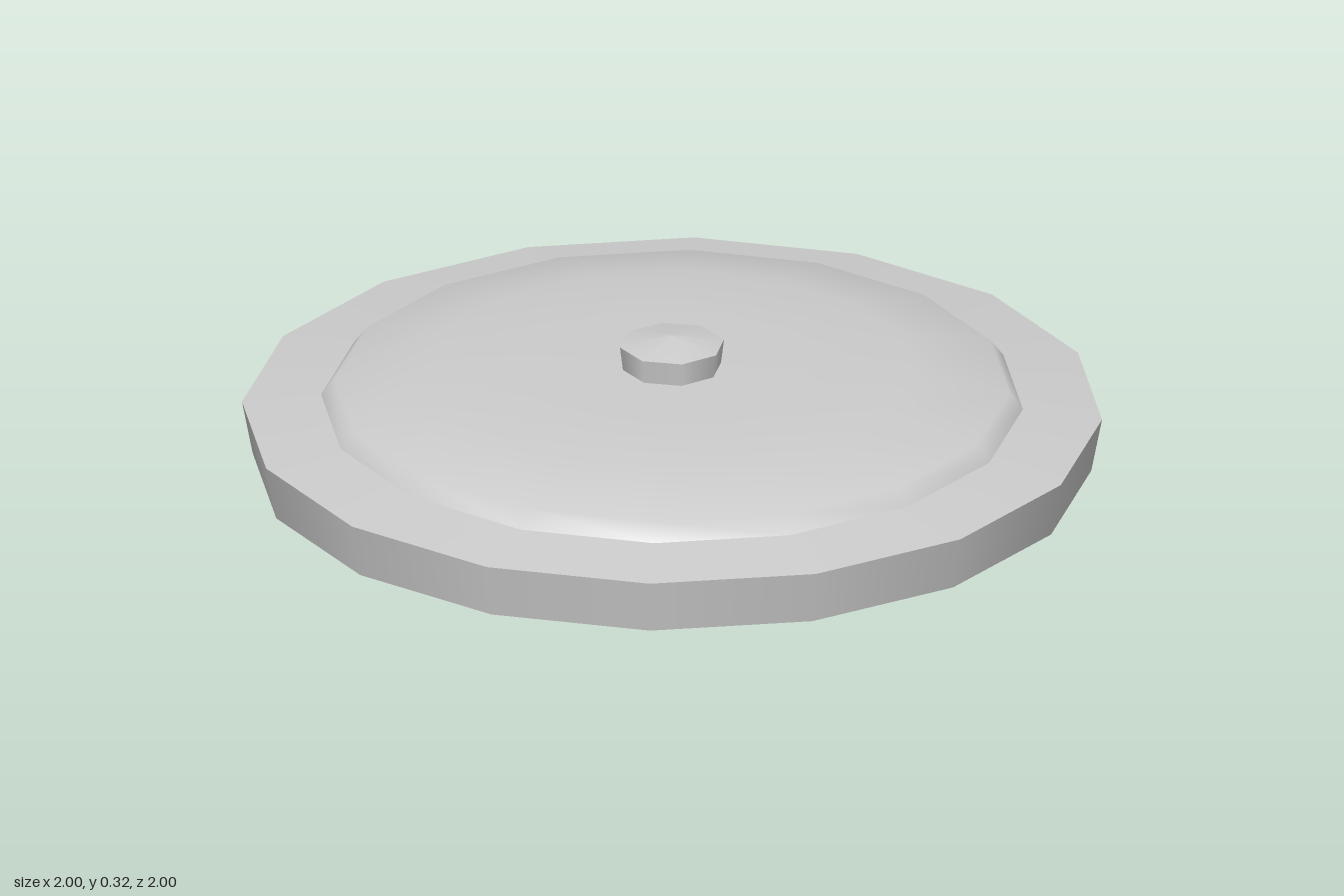
import * as THREE from 'three';

export function createModel() {
  const group = new THREE.Group();
  const grey = new THREE.MeshStandardMaterial({ color: 0xcccccc });
  grey.name = 'grey';

  // Each smooth band is its own lathe, so the borders between bands stay sharp
  const band = (name, parent, sides, profile) => {
    const points = profile.map(([r, y]) => new THREE.Vector2(r, y));
    const mesh = new THREE.Mesh(new THREE.LatheGeometry(points, sides), grey);
    mesh.name = name;
    parent.add(mesh);
  };

  // Base disc, slightly wider at the top, with a shallow dished underside
  const base = new THREE.Group();
  base.name = 'base';
  group.add(base);
  band('baseUnderside', base, 16, [
    [0, 0.05], [0.3, 0.049], [0.57, 0.042], [0.78, 0], [0.975, 0],
  ]);
  band('baseWall', base, 16, [[0.975, 0], [1, 0.13]]);
  band('baseRim', base, 16, [[1, 0.13], [0.816, 0.152]]);

  // Shallow smooth dome
  band('dome', group, 16, [
    [0.816, 0.152], [0.785, 0.193], [0.57, 0.235], [0.3, 0.242], [0, 0.243],
  ]);

  // Eight-sided knob, turned a little, with a low pointed cap
  const knob = new THREE.Group();
  knob.name = 'knob';
  knob.rotation.y = -0.15;
  group.add(knob);
  band('knobWall', knob, 8, [[0.115, 0.235], [0.123, 0.3]]);
  band('knobCap', knob, 8, [[0.123, 0.3], [0.01, 0.321], [0, 0.321]]);

  return group;
}
